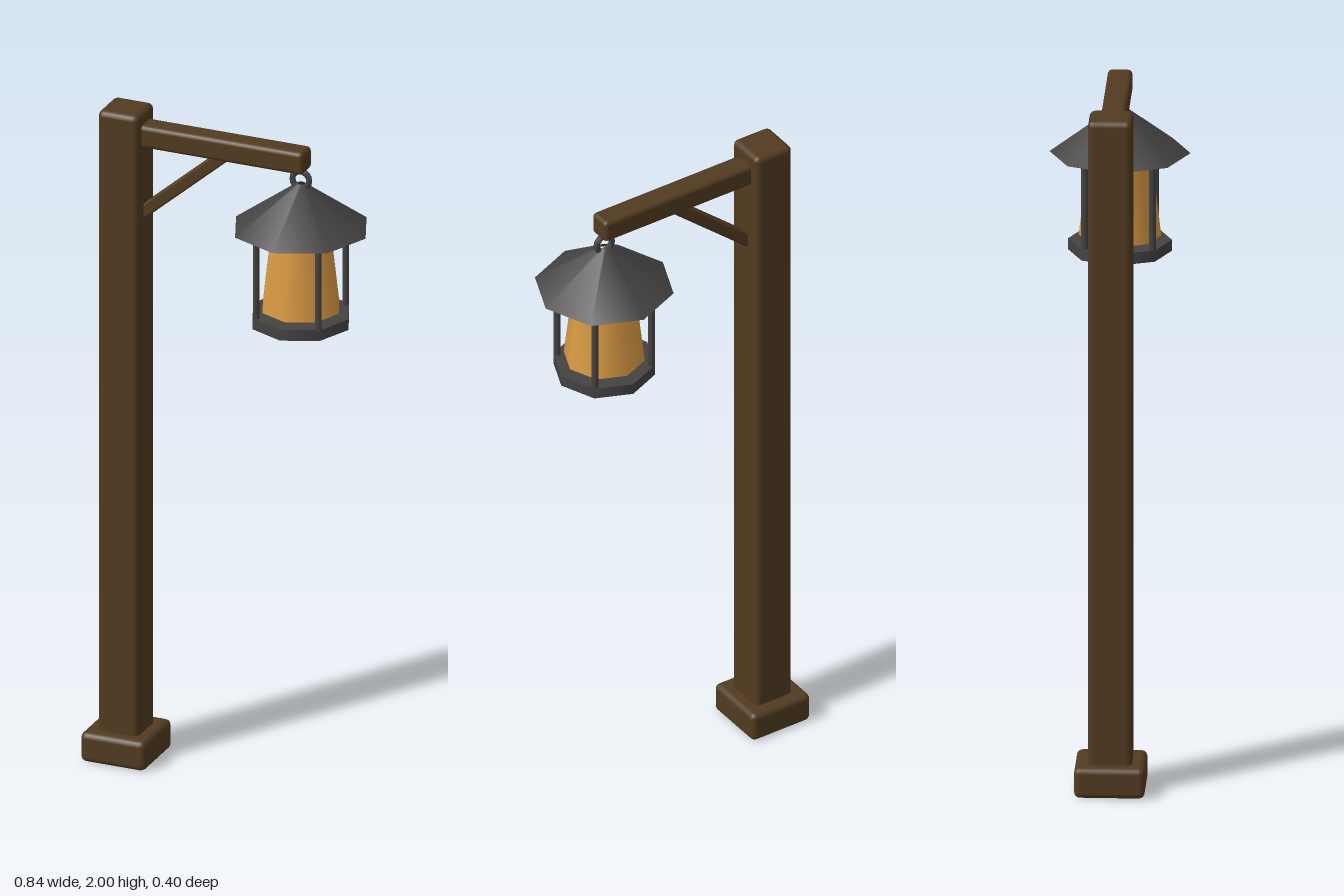
import * as THREE from 'three';
import { RoundedBoxGeometry } from 'three/addons/geometries/RoundedBoxGeometry.js';

const POST_X = -0.32, LAMP_X = 0.22;

export function createModel() {
  const group = new THREE.Group();
  const wood = new THREE.MeshStandardMaterial({ color: 0x523b20 });
  wood.name = 'darkWood';
  const iron = new THREE.MeshStandardMaterial({ color: 0x454242, side: THREE.DoubleSide });
  iron.name = 'blackIron';
  const glass = new THREE.MeshStandardMaterial({ color: 0xd99a43 });
  glass.name = 'amberGlass';

  const add = (parent, name, geometry, material, x, y, z = 0) => {
    const mesh = new THREE.Mesh(geometry, material);
    mesh.name = name;
    mesh.position.set(x, y, z);
    parent.add(mesh);
    return mesh;
  };
  const beam = (w, h, d, r) => new RoundedBoxGeometry(w, h, d, 2, r);

  // Timber frame
  add(group, 'foot', beam(0.2, 0.09, 0.2, 0.017), wood, POST_X, 0.045);
  add(group, 'post', beam(0.125, 1.98, 0.125, 0.017), wood, POST_X, 1.01);
  add(group, 'arm', beam(0.54, 0.068, 0.07, 0.013), wood, -0.03, 1.929);

  // Diagonal brace between post and arm
  const from = new THREE.Vector2(-0.285, 1.67), to = new THREE.Vector2(-0.005, 1.912);
  const mid = from.clone().add(to).multiplyScalar(0.5);
  const brace = add(group, 'brace', beam(from.distanceTo(to), 0.036, 0.04, 0.006), wood, mid.x, mid.y);
  brace.rotation.z = to.clone().sub(from).angle();

  // Hanging lantern, eight-sided
  const lantern = new THREE.Group();
  lantern.name = 'lantern';
  lantern.position.x = LAMP_X;
  group.add(lantern);
  add(lantern, 'ring', new THREE.TorusGeometry(0.026, 0.009, 8, 16), iron, 0, 1.868);
  add(lantern, 'roof', new THREE.CylinderGeometry(0.012, 0.2, 0.137, 8, 1, true), iron, 0, 1.789);
  add(lantern, 'glass', new THREE.CylinderGeometry(0.09, 0.117, 0.235, 8), glass, 0, 1.592);
  add(lantern, 'tray', new THREE.CylinderGeometry(0.147, 0.147, 0.033, 8), iron, 0, 1.446);

  // Four upright bars around the glass
  for (let i = 0; i < 4; i++) {
    const a = Math.PI / 4 + i * Math.PI / 2;
    add(lantern, 'bar', new THREE.CylinderGeometry(0.01, 0.01, 0.3, 8), iron,
      0.136 * Math.cos(a), 1.6, 0.136 * Math.sin(a));
  }
  return group;
}
